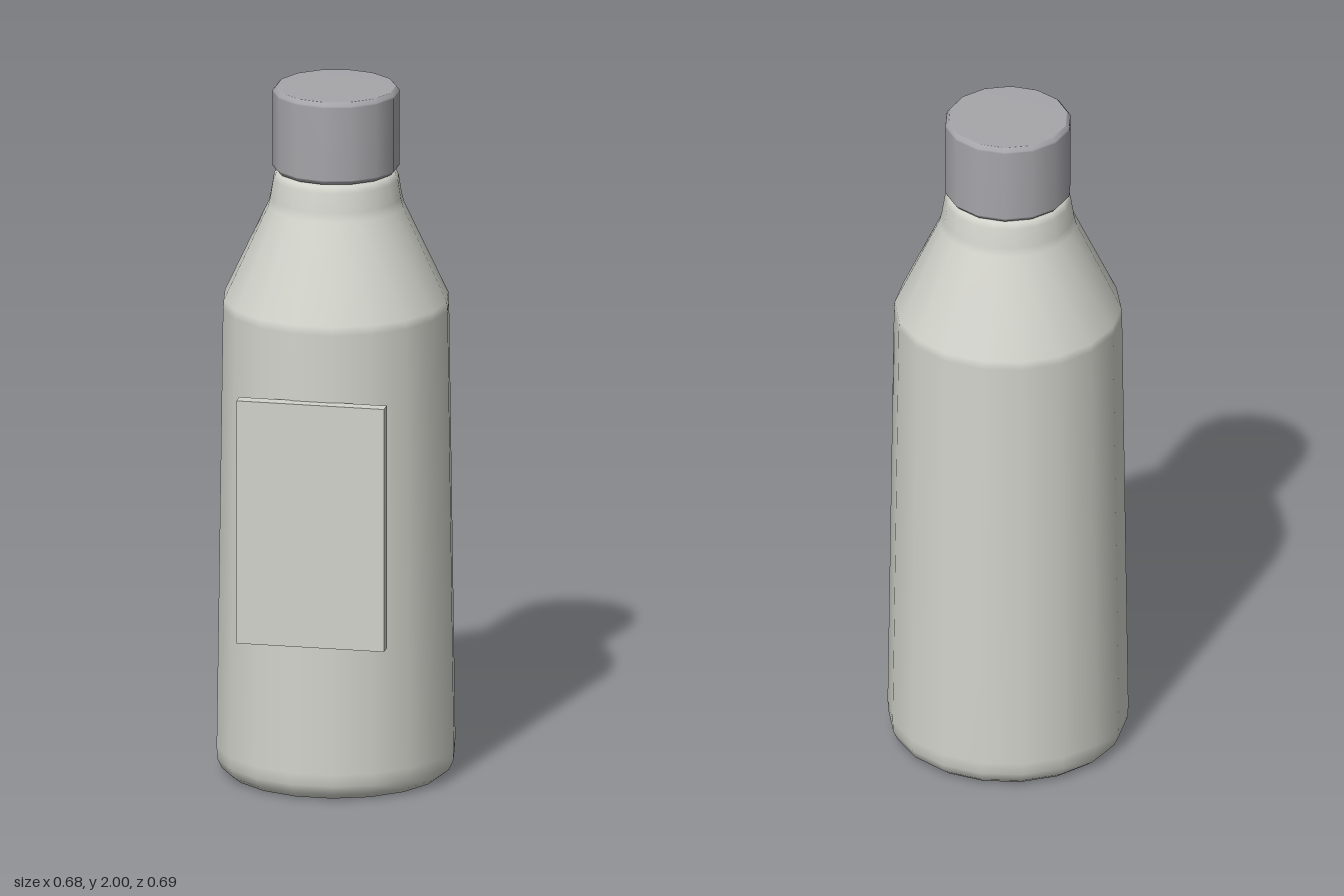
import * as THREE from 'three';

const bodyPaint = new THREE.MeshStandardMaterial({ color: 0xd2d3cb });
const capPaint = new THREE.MeshStandardMaterial({ color: 0xa6a6aa });
bodyPaint.name = 'warm light grey';
capPaint.name = 'cool grey';

const AXIS_Z = -0.01;

// Turns a [radius, height] profile around the bottle axis
function turned(name, profile, sides, start, material) {
  const points = profile.map(([r, y]) => new THREE.Vector2(r, y));
  const mesh = new THREE.Mesh(new THREE.LatheGeometry(points, sides, start), material);
  mesh.name = name;
  mesh.position.z = AXIS_Z;
  return mesh;
}

export function createModel() {
  const model = new THREE.Group();
  model.name = 'bottle';

  // Tapered body with rounded foot, sloping shoulder and neck
  model.add(turned('body', [
    [0, 0], [0.295, 0], [0.305, 0.002], [0.325, 0.018], [0.337, 0.045], [0.339, 0.08],
    [0.321, 1.36], [0.319, 1.385], [0.193, 1.655], [0.187, 1.68],
    [0.178, 1.735], [0.17, 1.752], [0.155, 1.758], [0, 1.758],
  ], 18, Math.PI / 18, bodyPaint));

  // Screw cap with small bevels
  model.add(turned('cap', [
    [0, 1.758], [0.168, 1.758], [0.17, 1.759], [0.178, 1.768], [0.179, 1.772],
    [0.179, 1.984], [0.178, 1.989], [0.17, 1.999], [0.168, 2], [0, 2],
  ], 14, 0, capPaint));

  // Flat plate standing on the front
  const label = new THREE.Mesh(new THREE.BoxGeometry(0.424, 0.71, 0.039), bodyPaint);
  label.name = 'label';
  label.position.set(0, 0.81, 0.3225);
  model.add(label);

  return model;
}
